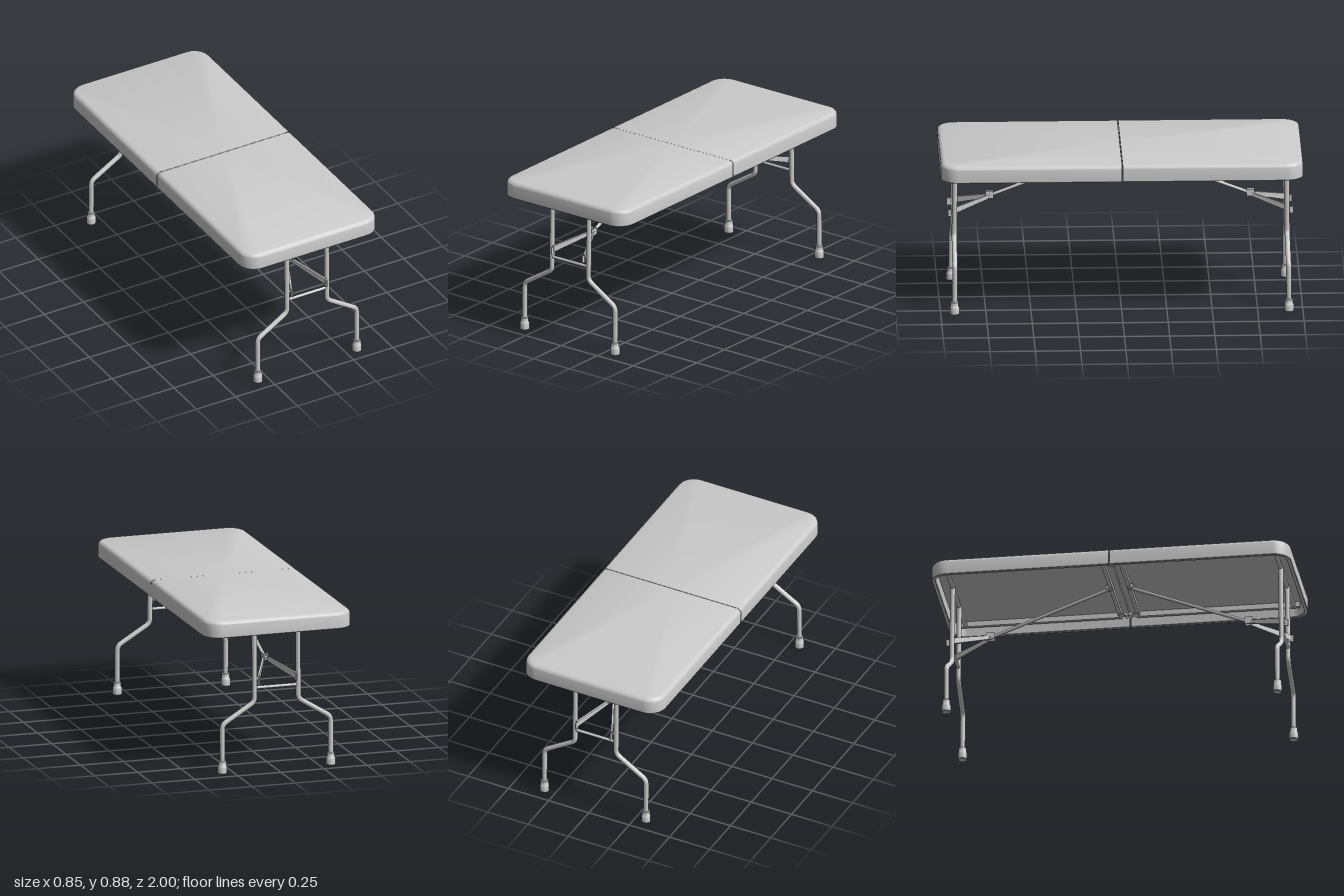
import * as THREE from 'three';
import { toCreasedNormals } from 'three/addons/utils/BufferGeometryUtils.js';

const grey = new THREE.MeshStandardMaterial({ color: 0xcccccc });
const greyThin = new THREE.MeshStandardMaterial({ color: 0xcccccc, side: THREE.DoubleSide });
const V = (x, y, z) => new THREE.Vector3(x, y, z);

function add(parent, name, geometry, material = grey) {
  const mesh = new THREE.Mesh(geometry, material);
  mesh.name = name;
  parent.add(mesh);
  return mesh;
}

function box(parent, name, w, h, d, x, y, z) {
  return add(parent, name, new THREE.BoxGeometry(w, h, d).translate(x, y, z));
}

// Straight round bar between two points
function rod(parent, name, a, b, r) {
  const dir = b.clone().sub(a);
  const mesh = add(parent, name, new THREE.CylinderGeometry(r, r, dir.length(), 16));
  mesh.position.copy(a).lerp(b, 0.5);
  mesh.quaternion.setFromUnitVectors(V(0, 1, 0), dir.normalize());
  return mesh;
}

// Tube along a polyline with rounded bends
function bentTube(parent, name, pts, r, bend) {
  const path = new THREE.CurvePath();
  let last = pts[0];
  for (let i = 1; i < pts.length - 1; i++) {
    const p = pts[i];
    const inP = p.clone().add(pts[i - 1].clone().sub(p).setLength(bend));
    const outP = p.clone().add(pts[i + 1].clone().sub(p).setLength(bend));
    path.add(new THREE.LineCurve3(last, inP));
    path.add(new THREE.QuadraticBezierCurve3(inP, p, outP));
    last = outP;
  }
  path.add(new THREE.LineCurve3(last, pts[pts.length - 1]));
  return add(parent, name, new THREE.TubeGeometry(path, 90, r, 16, false), greyThin);
}

// Half of the hollow top: an outline rounded at the far end, swept down a profile
function topShell() {
  const W = 0.427, L = 1, R = 0.095, SEAM = 0.002, STEPS = 10;
  const outline = (inset) => {
    const pts = [[W - inset, SEAM]];
    for (const side of [1, -1]) {
      for (let i = 0; i <= STEPS; i++) {
        const t = (side > 0 ? i / STEPS : 1 - i / STEPS) * Math.PI / 2;
        pts.push([side * (W - R + (R - inset) * Math.cos(t)), L - R + (R - inset) * Math.sin(t)]);
      }
    }
    pts.push([inset - W, SEAM]);
    return pts;
  };
  // [inset, height]; null inset closes the surface at the seam centre
  const profile = [[null, 0.885], [0.024, 0.885], [0.012, 0.881], [0.003, 0.872], [0, 0.862],
    [0, 0.793], [0.003, 0.79], [0.019, 0.79], [0.022, 0.793], [0.024, 0.862], [null, 0.862]];
  const n = outline(0).length, pos = [], index = [];
  profile.forEach(([inset, y], j) => {
    for (const [x, z] of outline(inset ?? 0)) {
      pos.push(inset === null ? 0 : x, y, inset === null ? SEAM : z);
    }
    if (j === profile.length - 1) return;
    for (let i = 0; i < n - 1; i++) {
      const a = j * n + i, b = a + 1, c = a + n, d = c + 1;
      if (profile[j][0] !== null) index.push(a, b, c);
      if (profile[j + 1][0] !== null) index.push(b, d, c);
      else index.push(a, b, c);
    }
  });
  const g = new THREE.BufferGeometry();
  g.setAttribute('position', new THREE.Float32BufferAttribute(pos, 3));
  g.setIndex(index);
  return toCreasedNormals(g, 0.5);
}

// Flat bar between two points whose height tapers
function taperedBar(parent, name, a, b, h0, h1, thick) {
  const g = new THREE.BoxGeometry(1, 1, 1);
  const p = g.attributes.position;
  for (let i = 0; i < p.count; i++) {
    const t = p.getX(i) + 0.5;
    const c = a.clone().lerp(b, t);
    p.setXYZ(i, c.x + Math.sign(a.x) * -p.getZ(i) * thick, c.y + p.getY(i) * (h0 + (h1 - h0) * t), c.z);
  }
  // keep faces outward on the mirrored side
  const flip = a.x > 0;
  if (flip) {
    const idx = g.index;
    for (let i = 0; i < idx.count; i += 3) {
      const t = idx.getX(i);
      idx.setX(i, idx.getX(i + 1));
      idx.setX(i + 1, t);
    }
  }
  const flat = g.toNonIndexed();
  flat.computeVertexNormals();
  return add(parent, name, flat, greyThin);
}

function lathe(points) {
  return toCreasedNormals(new THREE.LatheGeometry(points.map(([x, y]) => new THREE.Vector2(x, y)), 20), 0.6);
}

function buildHalf() {
  const half = new THREE.Group();

  // Top and the frame below it
  add(half, 'tabletop', topShell(), greyThin);
  box(half, 'seamWall', 0.8, 0.021, 0.006, 0, 0.8725, 0.006);
  box(half, 'centreRail', 0.74, 0.024, 0.022, 0, 0.85, 0.05);
  for (const s of [-1, 1]) {
    box(half, 'sideRail', 0.02, 0.03, 0.91, s * 0.37, 0.847, 0.495);
    box(half, 'hingeLeaf', 0.04, 0.006, 0.05, s * 0.34, 0.835, 0.03);
    rod(half, 'hingeKnuckle', V(s * 0.32, 0.832, 0.012), V(s * 0.36, 0.832, 0.012), 0.01);
  }

  // Folding leg frame
  const legs = new THREE.Group();
  legs.name = 'legFrame';
  half.add(legs);
  rod(legs, 'pivotBar', V(-0.37, 0.845, 0.914), V(0.37, 0.845, 0.914), 0.012);
  rod(legs, 'crossbar', V(-0.125, 0.473, 0.919), V(0.125, 0.473, 0.919), 0.009);
  const foot = lathe([[0, 0], [0.023, 0], [0.026, 0.004], [0.026, 0.04], [0.0225, 0.046],
    [0.0215, 0.048], [0.0215, 0.07], [0.019, 0.073], [0.013, 0.073]]);
  for (const s of [-1, 1]) {
    bentTube(legs, 'leg', [V(s * 0.127, 0.85, 0.914), V(s * 0.127, 0.393, 0.919),
      V(s * 0.315, 0.277, 0.921), V(s * 0.315, 0.03, 0.923)], 0.0145, 0.025);
    add(legs, 'foot', foot).position.set(s * 0.315, 0, 0.923);
  }

  // Folding brace: two arms from the legs meet one long strut
  const brace = new THREE.Group();
  brace.name = 'brace';
  half.add(brace);
  for (const s of [-1, 1]) {
    taperedBar(brace, 'braceArm', V(s * 0.109, 0.527, 0.935), V(s * 0.013, 0.581, 0.73), 0.036, 0.022, 0.012);
    rod(brace, 'bracePin', V(s * 0.102, 0.527, 0.921), V(s * 0.135, 0.527, 0.921), 0.008);
    box(brace, 'braceTab', 0.006, 0.04, 0.03, s * 0.107, 0.52, 0.938);
    box(brace, 'jointPlate', 0.005, 0.04, 0.045, s * 0.014, 0.592, 0.72);
  }
  rod(brace, 'jointPin', V(-0.018, 0.588, 0.72), V(0.018, 0.588, 0.72), 0.007);
  rod(brace, 'strut', V(0, 0.581, 0.735), V(0, 0.838, 0.06), 0.0095);
  box(brace, 'strutMount', 0.035, 0.025, 0.03, 0, 0.845, 0.06);
  return half;
}

export function createModel() {
  const table = new THREE.Group();
  table.name = 'foldingTable';
  const front = buildHalf();
  front.name = 'frontHalf';
  const back = buildHalf();
  back.name = 'backHalf';
  back.rotation.y = Math.PI;
  table.add(front, back);
  return table;
}
